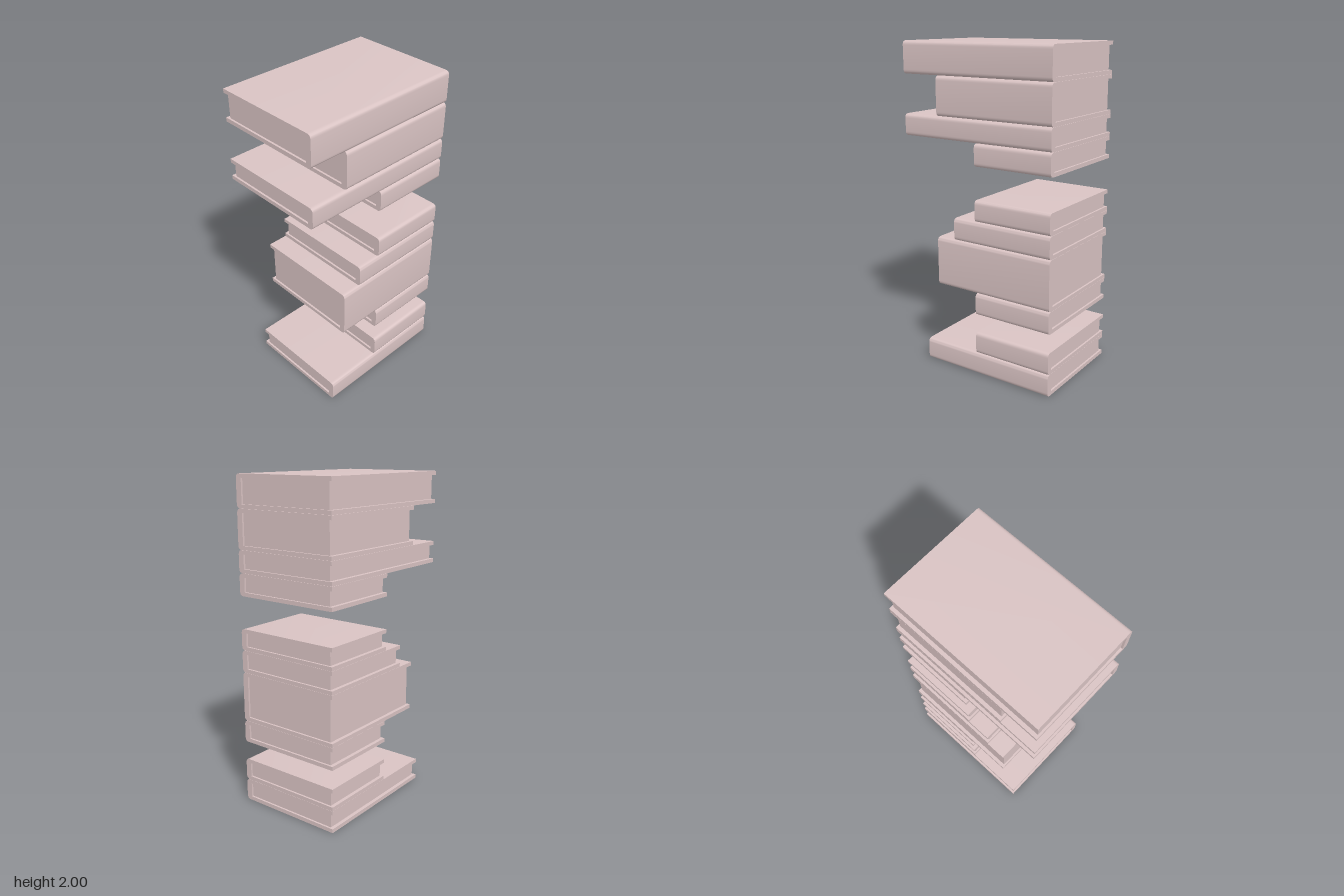
import * as THREE from 'three';
import { toCreasedNormals } from 'three/addons/utils/BufferGeometryUtils.js';

const BACK = -0.512;      // all books line up at the back
const FORE = -0.343;      // open edge of the covers
const SPINE = 0.34;       // outside of the spine
const BOARD = 0.024;      // cover thickness
const ROUND = 0.026;      // rounding of the spine edges
const INSET = 0.012;      // pages sit slightly inside the covers

const material = new THREE.MeshStandardMaterial({ color: 0xd9c3c3 });

// C-shaped cover: two boards joined by a spine with rounded edges
function makeCover(height, length) {
  const inner = SPINE - 0.038;
  const s = new THREE.Shape();
  s.moveTo(FORE, 0);
  s.lineTo(SPINE - ROUND, 0);
  s.quadraticCurveTo(SPINE, 0, SPINE, ROUND);
  s.lineTo(SPINE, height - ROUND);
  s.quadraticCurveTo(SPINE, height, SPINE - ROUND, height);
  s.lineTo(FORE, height);
  s.lineTo(FORE, height - BOARD);
  s.lineTo(inner, height - BOARD);
  s.lineTo(inner, BOARD);
  s.lineTo(FORE, BOARD);
  s.closePath();
  const geometry = new THREE.ExtrudeGeometry(s, { depth: length, bevelEnabled: false, curveSegments: 5 });
  const cover = new THREE.Mesh(toCreasedNormals(geometry, 0.7), material);
  cover.name = 'cover';
  return cover;
}

// Block of pages between the boards
function makePages(height, length) {
  const left = FORE + 0.022, right = SPINE - 0.037;
  const pages = new THREE.Mesh(
    new THREE.BoxGeometry(right - left, height - 2 * BOARD + 0.002, length - 2 * INSET), material);
  pages.position.set((left + right) / 2, height / 2, length / 2);
  pages.name = 'pages';
  return pages;
}

export function createModel() {
  const stack = new THREE.Group();
  stack.name = 'bookStack';

  // bottom, top and front end of each book
  const books = [
    [0, 0.138, 0.378], [0.138, 0.275, 0],
    [0.39, 0.528, 0], [0.528, 0.836, 0.282], [0.836, 0.974, 0.154], [0.974, 1.106, 0],
    [1.302, 1.438, 0], [1.438, 1.572, 0.512], [1.572, 1.806, 0.27], [1.806, 2, 0.512],
  ];
  books.forEach(([bottom, top, front], i) => {
    const book = new THREE.Group();
    book.name = `book${i + 1}`;
    const height = top - bottom - 0.001;
    book.add(makeCover(height, front - BACK), makePages(height, front - BACK));
    book.position.set(0, bottom, BACK);
    stack.add(book);
  });
  return stack;
}
